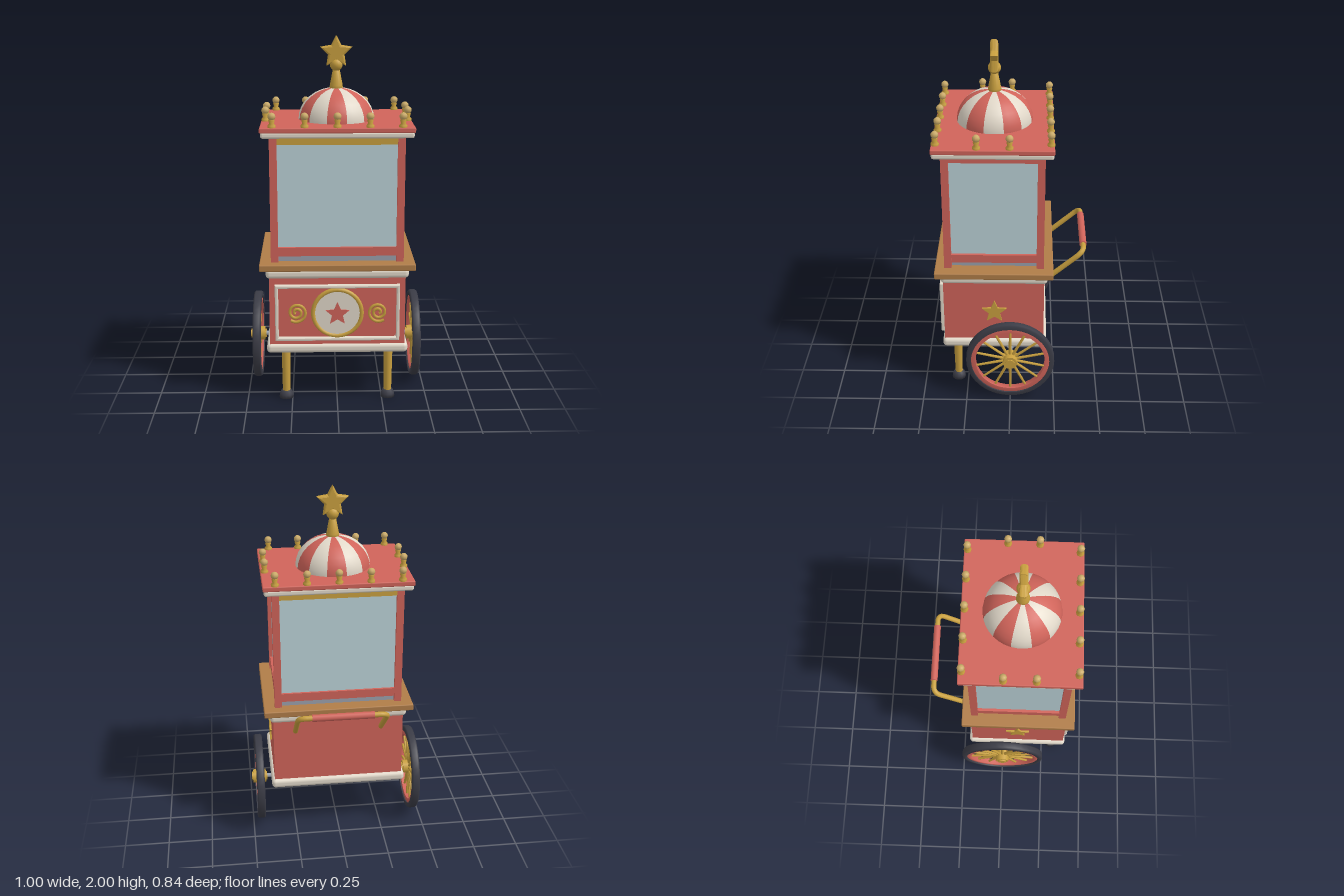
import * as THREE from 'three';
import { RoundedBoxGeometry } from 'three/addons/geometries/RoundedBoxGeometry.js';

const mat = (name, color, side = THREE.FrontSide) => {
  const m = new THREE.MeshStandardMaterial({ color, side });
  m.name = name;
  return m;
};

// Five-pointed star outline, one point up
function starShape(R, r) {
  const s = new THREE.Shape();
  for (let i = 0; i < 10; i++) {
    const a = Math.PI / 2 + i * Math.PI / 5, d = i % 2 ? r : R;
    s[i ? 'lineTo' : 'moveTo'](Math.cos(a) * d, Math.sin(a) * d);
  }
  s.closePath();
  return s;
}

export function createModel() {
  const red = mat('red paint', 0xd0645a);
  const cream = mat('cream paint', 0xe2d9ca);
  const gold = mat('gold', 0xc9a03f);
  const paleGold = mat('pale gold', 0xcbab68);
  const wood = mat('wood', 0xb07d48);
  const steel = mat('steel', 0x9ba1ad);
  const rubber = mat('rubber', 0x3b3c46);
  const glass = mat('glass', 0xbcd3d8);

  const model = new THREE.Group();
  model.name = 'streetCart';
  const CZ = 0.09; // centre of the cart body in z

  const add = (name, geo, m, x = 0, y = 0, z = 0, parent = model) => {
    const mesh = new THREE.Mesh(geo, m);
    mesh.name = name;
    mesh.position.set(x, y, z);
    parent.add(mesh);
    return mesh;
  };
  const box = (name, w, h, d, m, x, y, z) => add(name, new THREE.BoxGeometry(w, h, d), m, x, y, z);
  const slab = (name, w, y0, y1, d, r, m) =>
    add(name, new RoundedBoxGeometry(w, y1 - y0, d, 3, r), m, 0, (y0 + y1) / 2, CZ);
  const lathe = (pts, n) => new THREE.LatheGeometry(pts.map(p => new THREE.Vector2(...p)), n);

  // Lower body, mouldings and counter
  slab('lowerTrim', 0.775, 0.292, 0.347, 0.59, 0.022, cream);
  box('body', 0.74, 0.42, 0.56, red, 0, 0.53, CZ + 0.003);
  slab('upperTrim', 0.775, 0.722, 0.777, 0.59, 0.022, cream);
  slab('counter', 0.84, 0.775, 0.812, 0.652, 0.006, wood);

  // Glass cabinet
  box('steelTray', 0.66, 0.05, 0.5, steel, 0, 0.825, CZ);
  box('glassCase', 0.675, 0.6, 0.51, glass, 0, 1.165, CZ);
  for (const sx of [-1, 1]) {
    for (const sz of [-1, 1])
      box('cabinetPost', 0.04, 0.69, 0.04, red, sx * 0.338, 1.155, CZ + sz * 0.253);
    box('sideBottomRail', 0.03, 0.048, 0.47, red, sx * 0.338, 0.869, CZ);
    box('sideTopRail', 0.03, 0.045, 0.47, red, sx * 0.338, 1.475, CZ);
    box('bottomRail', 0.64, 0.048, 0.03, red, 0, 0.869, CZ + sx * 0.253);
    box('goldTopRail', 0.64, 0.045, 0.03, gold, 0, 1.475, CZ + sx * 0.253);
  }

  // Roof
  slab('roofTrim', 0.8, 1.493, 1.527, 0.63, 0.012, cream);
  slab('roof', 0.812, 1.522, 1.55, 0.638, 0.006, red);

  // Striped dome built from wedges
  const dome = new THREE.Group();
  dome.name = 'dome';
  dome.position.set(0, 1.548, CZ);
  dome.scale.y = 0.83;
  model.add(dome);
  for (let i = 0; i < 12; i++) {
    const start = Math.PI / 2 - Math.PI / 12 + i * Math.PI / 6;
    add('domeStripe', new THREE.SphereGeometry(0.207, 2, 8, start, Math.PI / 6, 0, Math.PI / 2),
      i % 2 ? cream : red, 0, 0, 0, dome);
  }

  // Finial with a puffy star on top of the dome
  add('finialStem', lathe([[0, 1.7], [0.037, 1.7], [0.035, 1.73], [0.02, 1.81], [0, 1.81]], 16), gold, 0, 0, CZ);
  add('finialBall', new THREE.SphereGeometry(0.035, 16, 10), gold, 0, 1.842, CZ);
  const topStar = new THREE.ExtrudeGeometry(starShape(0.074, 0.033),
    { depth: 0.014, bevelEnabled: true, bevelSize: 0.012, bevelThickness: 0.014, bevelSegments: 3 });
  topStar.translate(0, 0, -0.007);
  add('topStar', topStar, gold, 0, 1.908, CZ);

  // Small finials around the roof edge
  const spots = [];
  for (const x of [-0.34, -0.17, 0, 0.17, 0.34]) spots.push([x, 0.387], [x, -0.21]);
  for (const x of [-0.383, 0.383]) spots.push([x, 0.003], [x, 0.173]);
  const pegGeo = lathe([[0.021, 0], [0.021, 0.012], [0.012, 0.022], [0.017, 0.038], [0.009, 0.05]], 8);
  const ballGeo = new THREE.SphereGeometry(0.021, 8, 6);
  for (const [x, z] of spots) {
    add('roofPeg', pegGeo, gold, x, 1.549, z);
    add('roofPegBall', ballGeo, paleGold, x, 1.607, z);
  }

  // Front panel frame
  const FZ = 0.373;
  const rect = (P, w, h) => new P().moveTo(-w, -h).lineTo(w, -h).lineTo(w, h).lineTo(-w, h).closePath();
  const frame = rect(THREE.Shape, 0.334, 0.155);
  frame.holes.push(rect(THREE.Path, 0.326, 0.147));
  add('panelFrame', new THREE.ExtrudeGeometry(frame,
    { depth: 0.017, bevelEnabled: true, bevelSize: 0.005, bevelThickness: 0.006, bevelSegments: 2 }),
    cream, 0, 0.53, FZ);

  // Medallion with star
  const disc = new THREE.CylinderGeometry(0.132, 0.132, 0.016, 40).rotateX(Math.PI / 2);
  add('medallion', disc, cream, 0, 0.53, FZ + 0.008);
  add('medallionRing', new THREE.TorusGeometry(0.132, 0.012, 8, 40), gold, 0, 0.53, FZ + 0.012);
  add('medallionStar', new THREE.ExtrudeGeometry(starShape(0.068, 0.031), { depth: 0.006, bevelEnabled: false }),
    red, 0, 0.526, FZ + 0.016);

  // Scrolls beside the medallion
  for (const s of [-1, 1]) {
    const pts = [];
    for (let i = 0; i <= 28; i++) {
      const t = i / 28, a = -2.2 + t * 4 * Math.PI, r = 0.056 - 0.046 * t;
      pts.push(new THREE.Vector3(-s * Math.cos(a) * r, Math.sin(a) * r, 0));
    }
    add('scroll', new THREE.TubeGeometry(new THREE.CatmullRomCurve3(pts), 70, 0.0085, 6), gold, s * 0.222, 0.53, FZ + 0.006);
  }

  // Stars on both sides of the body
  const sideStar = new THREE.ExtrudeGeometry(starShape(0.073, 0.032), { depth: 0.012, bevelEnabled: false });
  for (const s of [-1, 1])
    add('sideStar', sideStar, gold, s * 0.369, 0.535, CZ).rotation.y = s * Math.PI / 2;

  // Front legs with rubber feet
  const foot = lathe([[0, 0], [0.04, 0], [0.038, 0.02], [0.028, 0.042], [0, 0.042]], 12);
  for (const s of [-1, 1]) {
    add('frontLeg', new THREE.CylinderGeometry(0.025, 0.021, 0.27, 14), gold, s * 0.285, 0.165, 0.307);
    add('foot', foot, rubber, s * 0.285, 0, 0.307);
  }

  // Axle with bearing blocks and hangers
  const WY = 0.26;
  const across = (r, len, n) => new THREE.CylinderGeometry(r, r, len, n).rotateZ(Math.PI / 2);
  add('axle', across(0.012, 0.9, 12), steel, 0, WY, 0);
  for (const s of [-1, 1]) {
    add('axleBearing', across(0.028, 0.07, 8), steel, s * 0.285, WY, 0);
    box('axleHanger', 0.04, 0.05, 0.03, steel, s * 0.285, 0.28, 0);
  }

  // Spoked wheels, built around the x axis
  const ring = (r0, r1, w) => lathe([[r0, -w], [r1 - 0.006, -w], [r1, -w * 0.6], [r1, w * 0.6],
    [r1 - 0.006, w], [r0, w], [r0, -w]], 40).rotateZ(Math.PI / 2);
  const tyreGeo = ring(0.222, 0.25, 0.023), rimGeo = ring(0.196, 0.226, 0.017);
  const spokeGeo = new THREE.CylinderGeometry(0.007, 0.009, 0.18, 6).translate(0, 0.118, 0);
  for (const s of [-1, 1]) {
    const wheel = new THREE.Group();
    wheel.name = s > 0 ? 'leftWheel' : 'rightWheel';
    wheel.position.set(s * 0.453, WY, 0);
    model.add(wheel);
    add('tyre', tyreGeo, rubber, 0, 0, 0, wheel);
    add('rim', rimGeo, red, 0, 0, 0, wheel);
    add('hub', across(0.04, 0.075, 16), gold, 0, 0, 0, wheel);
    add('hubCap', across(0.026, 0.09, 16), gold, 0, 0, 0, wheel);
    for (let i = 0; i < 14; i++)
      add('spoke', spokeGeo, gold, 0, 0, 0, wheel).rotation.x = i * Math.PI / 7;
  }

  // Push handle at the back
  const V = (x, y, z) => new THREE.Vector3(x, y, z);
  const path = new THREE.CurvePath();
  const arm = s => [V(s * 0.245, 0.655, -0.18), V(s * 0.245, 0.82, -0.365),
    V(s * 0.245, 0.856, -0.405), V(s * 0.2, 0.856, -0.405)];
  const [a, b] = [arm(-1), arm(1)];
  path.add(new THREE.LineCurve3(a[0], a[1]));
  path.add(new THREE.QuadraticBezierCurve3(a[1], a[2], a[3]));
  path.add(new THREE.LineCurve3(a[3], b[3]));
  path.add(new THREE.QuadraticBezierCurve3(b[3], b[2], b[1]));
  path.add(new THREE.LineCurve3(b[1], b[0]));
  add('handle', new THREE.TubeGeometry(path, 80, 0.015, 10), gold);
  add('handleGrip', across(0.02, 0.34, 14), red, 0, 0.856, -0.405);

  return model;
}
